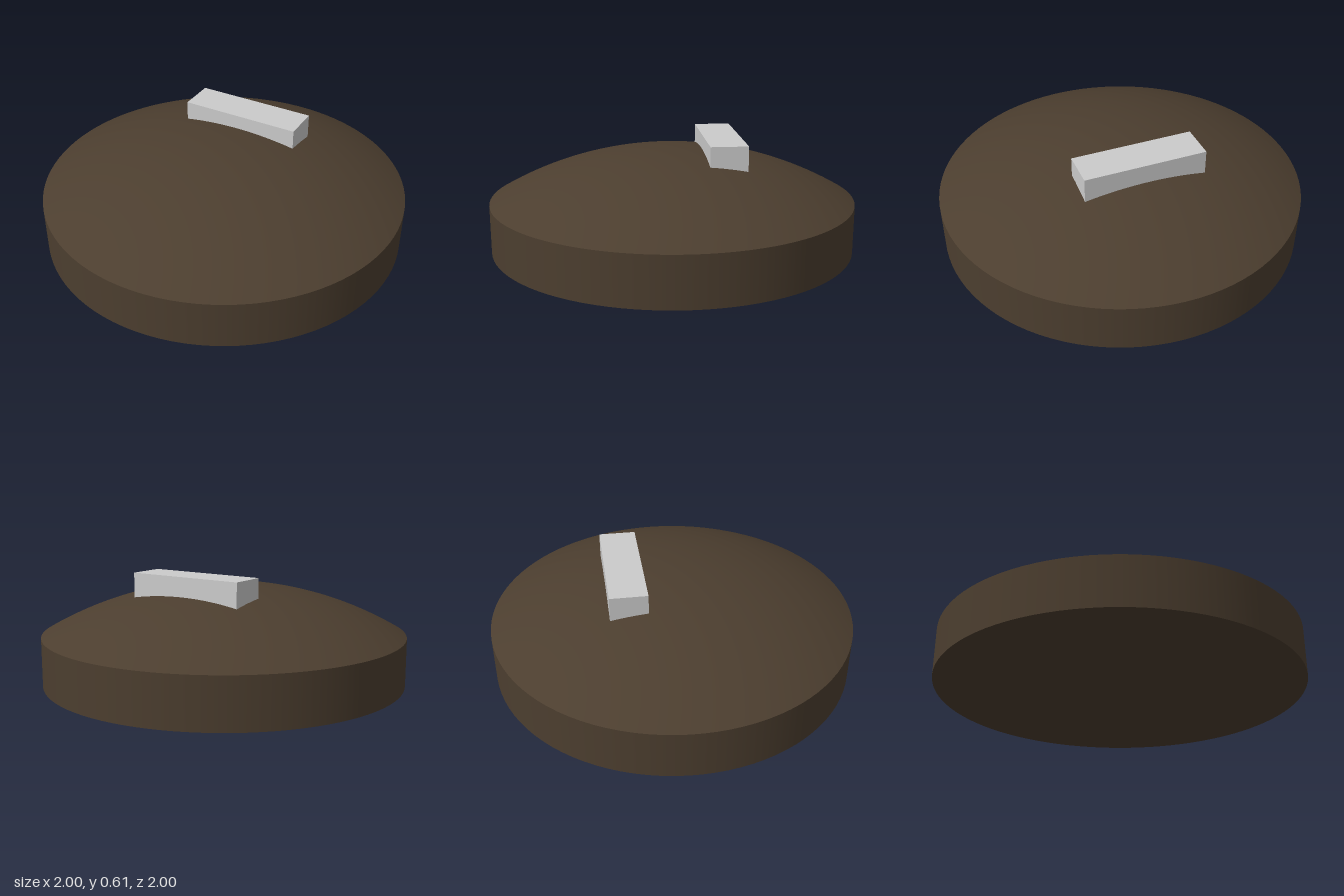
import * as THREE from 'three';

const RIM = 0.265;     // height of the straight side wall
const RISE = 0.268;    // height of the dome above the rim
const SEGMENTS = 96;

export function createModel() {
  const model = new THREE.Group();
  const brown = new THREE.MeshStandardMaterial({ color: 0x4c3e2f });
  const grey = new THREE.MeshStandardMaterial({ color: 0xcccccc });

  const add = (name, geometry, material, x = 0, y = 0, z = 0) => {
    const mesh = new THREE.Mesh(geometry, material);
    mesh.name = name;
    mesh.position.set(x, y, z);
    model.add(mesh);
    return mesh;
  };

  // Straight side wall and flat underside
  add('sideWall', new THREE.CylinderGeometry(1, 1, RIM, SEGMENTS, 1, true), brown, 0, RIM / 2, 0);
  add('underside', new THREE.CircleGeometry(1, SEGMENTS).rotateX(Math.PI / 2), brown);

  // Shallow spherical cap spanning the rim
  const radius = (1 + RISE * RISE) / (2 * RISE);
  const cap = new THREE.SphereGeometry(radius, SEGMENTS, 24, 0, Math.PI * 2, 0, Math.asin(1 / radius));
  add('dome', cap, brown, 0, RIM + RISE - radius, 0);

  // Flat-topped bar sunk into the dome behind its centre
  add('bar', new THREE.BoxGeometry(0.667, 0.155, 0.2), grey, 0, 0.5275, -0.267);

  return model;
}
